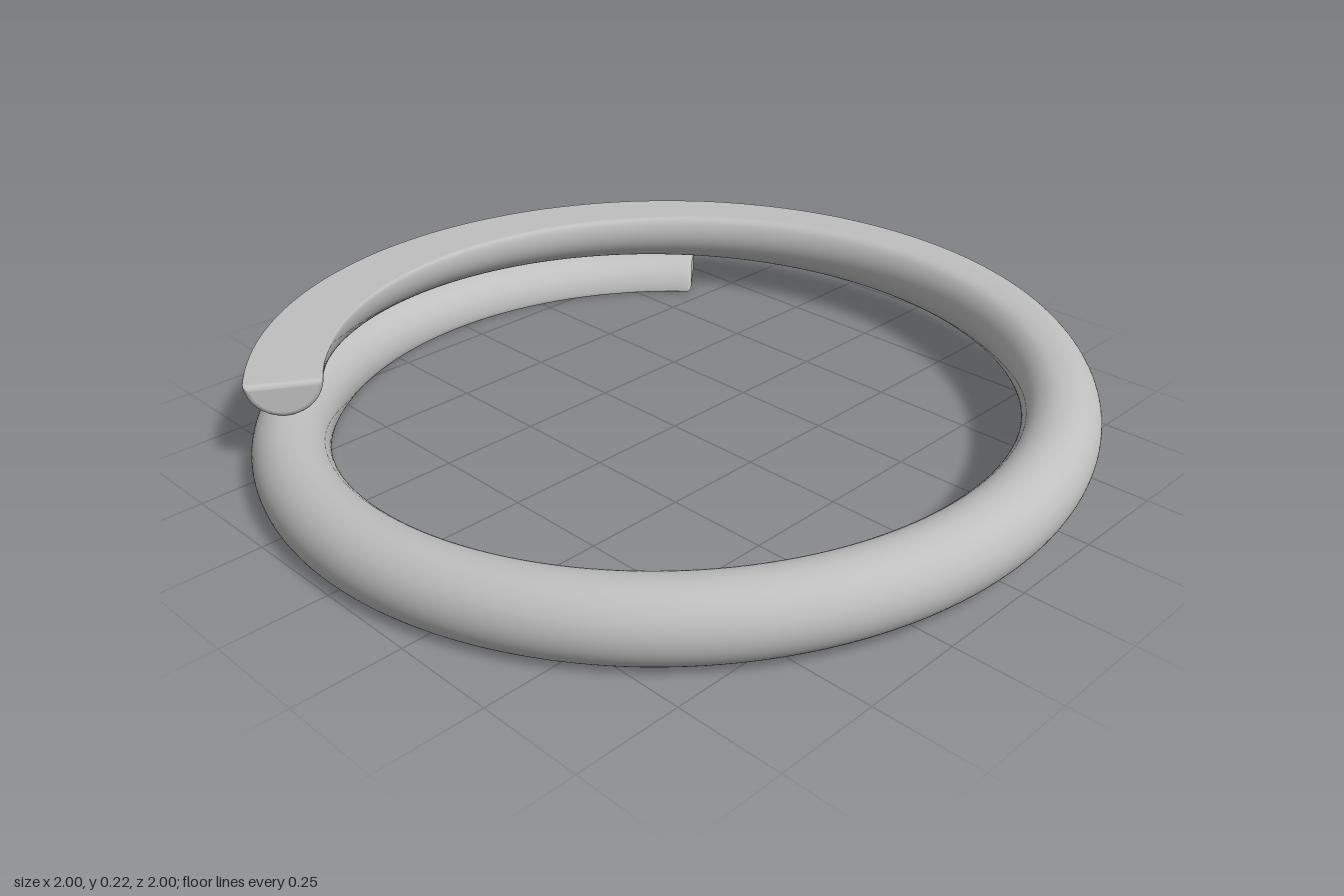
import * as THREE from 'three';

const HEIGHT = 0.225;   // between the two ground faces
const RING = 0.91;      // coil centre-line radius
const WIRE = 0.09;      // wire radius
const PITCH = 0.18;     // rise per turn
const START = THREE.MathUtils.degToRad(122);
const END = THREE.MathUtils.degToRad(588.7);
const SIDES = 72, STEPS = 260, FILLET = 0.012;

// Minimum of a and b with a small rounded transition
function softMin(a, b, k = 0.018) {
  const h = Math.max(k - Math.abs(a - b), 0) / k;
  return Math.min(a, b) - h * h * k / 4;
}

// One wire section, ground flat at top and bottom, optionally inset
function section(theta, inset) {
  const middle = HEIGHT / 2 - (theta - (START + END) / 2) * PITCH / (2 * Math.PI);
  const points = [];
  for (let j = 0; j < SIDES; j++) {
    const phi = j / SIDES * Math.PI * 2;
    const radius = RING + (WIRE - inset) * Math.cos(phi);
    let y = middle + (WIRE - inset) * Math.sin(phi);
    y = softMin(y, HEIGHT - inset);
    y = -softMin(-y, -inset);
    points.push(new THREE.Vector3(radius * Math.cos(theta), y, radius * Math.sin(theta)));
  }
  return points;
}

function coilGeometry() {
  const rings = [];
  const arc = [0, 0.25, 0.5, 0.75, 1].map(t => t * Math.PI / 2);
  const f = FILLET / RING;
  // Rounded rim, long coil, rounded rim
  for (const a of [...arc].reverse()) {
    rings.push(section(START + f * (1 - Math.sin(a)), FILLET * (1 - Math.cos(a))));
  }
  for (let i = 1; i < STEPS; i++) {
    rings.push(section(START + f + (END - START - 2 * f) * i / STEPS, 0));
  }
  for (const a of arc) {
    rings.push(section(END - f * (1 - Math.sin(a)), FILLET * (1 - Math.cos(a))));
  }

  const positions = [], index = [];
  const add = p => positions.push(p.x, p.y, p.z);
  rings.forEach(ring => ring.forEach(add));
  for (let i = 0; i < rings.length - 1; i++) {
    for (let j = 0; j < SIDES; j++) {
      const k = (j + 1) % SIDES;
      const a = i * SIDES + j, b = i * SIDES + k;
      index.push(a, b, b + SIDES, a, b + SIDES, a + SIDES);
    }
  }

  // Flat cut ends, with their own vertices so they shade flat
  for (const [ring, first] of [[rings[0], true], [rings[rings.length - 1], false]]) {
    const base = positions.length / 3;
    const centre = new THREE.Vector3();
    ring.forEach(p => { add(p); centre.addScaledVector(p, 1 / SIDES); });
    add(centre);
    for (let j = 0; j < SIDES; j++) {
      const a = base + j, b = base + (j + 1) % SIDES;
      index.push(base + SIDES, first ? b : a, first ? a : b);
    }
  }

  const geometry = new THREE.BufferGeometry();
  geometry.setAttribute('position', new THREE.Float32BufferAttribute(positions, 3));
  geometry.setIndex(index);
  geometry.computeVertexNormals();
  return geometry;
}

export function createModel() {
  const steel = new THREE.MeshStandardMaterial({ color: 0xbfbfbf });
  steel.name = 'steel grey';
  const group = new THREE.Group();
  group.name = 'groundSplitRing';
  const coil = new THREE.Mesh(coilGeometry(), steel);
  coil.name = 'coil';
  group.add(coil);
  return group;
}
